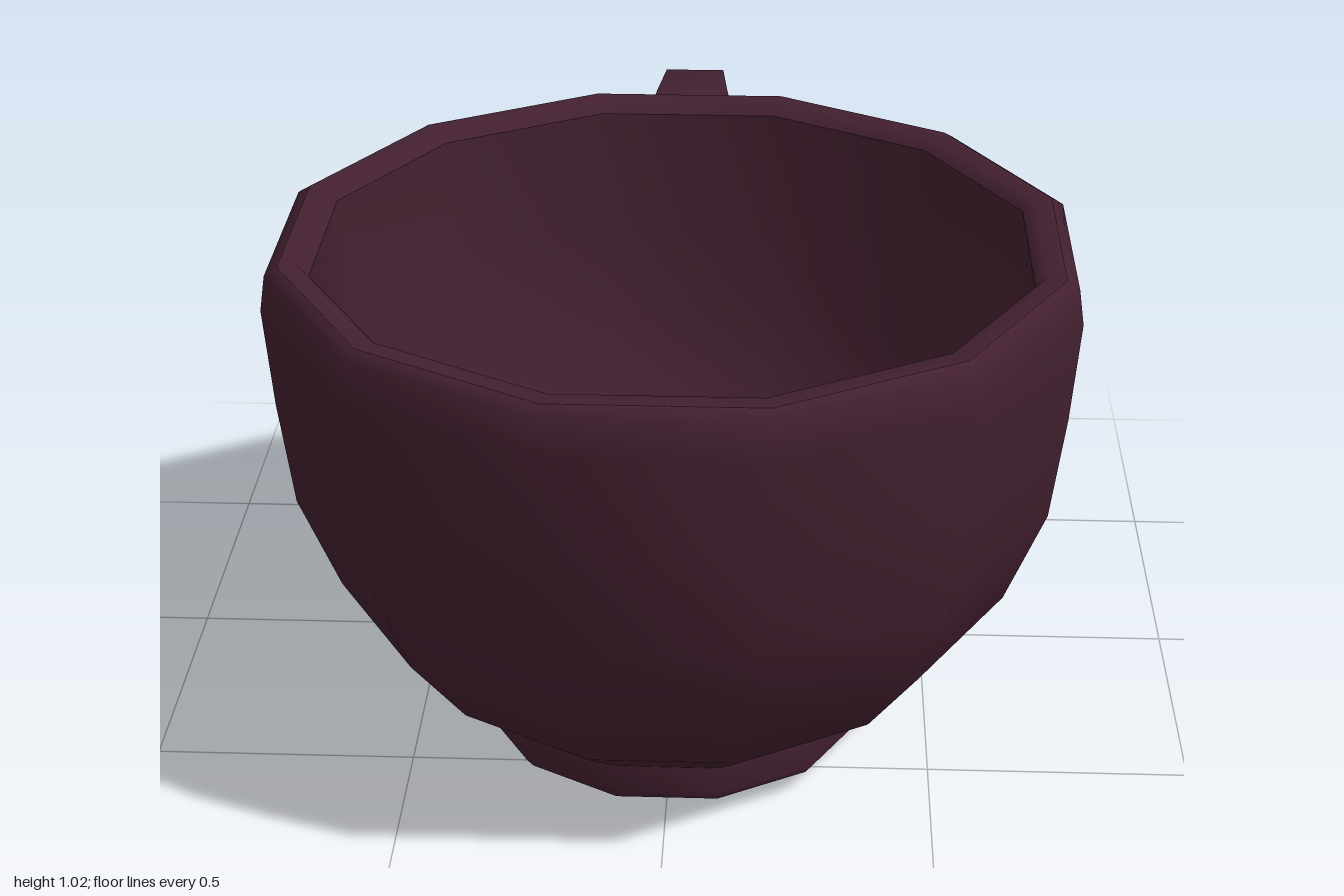
import * as THREE from 'three';
import { toCreasedNormals } from 'three/addons/utils/BufferGeometryUtils.js';

const SIDES = 12;
const CUP_Z = 0.255;
const material = new THREE.MeshStandardMaterial({ color: 0x432030 });

// Twelve-sided lathe; profile radii are measured to the middle of the flats
function turned(name, profile) {
  const k = 1 / Math.cos(Math.PI / SIDES);
  const points = profile.map(([r, y]) => new THREE.Vector2(r * k, y));
  const mesh = new THREE.Mesh(new THREE.LatheGeometry(points, SIDES, Math.PI / SIDES), material);
  mesh.name = name;
  mesh.position.z = CUP_Z;
  return mesh;
}

// Rectangular strap swept through stations: [outer z, outer y, inner z, inner y, half width]
function strap(stations) {
  const positions = [];
  const index = [];
  stations.forEach(([oz, oy, iz, iy, w], i) => {
    positions.push(w, oy, oz, -w, oy, oz, -w, iy, iz, w, iy, iz);
    if (i === stations.length - 1) return;
    for (let j = 0; j < 4; j++) {
      const a = i * 4 + j;
      const b = i * 4 + (j + 1) % 4;
      index.push(a, a + 4, b, b, a + 4, b + 4);
    }
  });
  // End caps
  const e = (stations.length - 1) * 4;
  index.push(0, 1, 2, 0, 2, 3, e, e + 2, e + 1, e, e + 3, e + 2);
  const geometry = new THREE.BufferGeometry();
  geometry.setAttribute('position', new THREE.Float32BufferAttribute(positions, 3));
  geometry.setIndex(index);
  return toCreasedNormals(geometry, Math.PI / 3);
}

export function createModel() {
  const group = new THREE.Group();
  group.name = 'cup';

  // Foot ring with a closed, flat underside
  group.add(turned('footBase', [[0, 0], [0.36, 0]]));
  group.add(turned('foot', [[0.36, 0], [0.375, 0.02], [0.375, 0.08]]));

  // Outer wall, up to the bevelled rim
  group.add(turned('outerWall', [
    [0.375, 0.08], [0.515, 0.187], [0.632, 0.345], [0.705, 0.535],
    [0.73, 0.74], [0.745, 0.935], [0.735, 1.003], [0.712, 1.018],
  ]));

  // Rim and hollow inside
  group.add(turned('rim', [[0.712, 1.018], [0.675, 1.018], [0.657, 0.995]]));
  group.add(turned('innerWall', [
    [0.657, 0.995], [0.655, 0.92], [0.645, 0.74], [0.62, 0.55],
    [0.555, 0.38], [0.44, 0.24], [0.3, 0.15], [0, 0.12],
  ]));

  // Handle at the back, wider where it meets the wall
  const handle = new THREE.Mesh(strap([
    [-0.46, 0.905, -0.45, 0.735, 0.11],
    [-0.63, 0.963, -0.66, 0.85, 0.075],
    [-0.79, 0.95, -0.762, 0.842, 0.062],
    [-0.946, 0.826, -0.86, 0.786, 0.051],
    [-1, 0.646, -0.9, 0.646, 0.048],
    [-0.946, 0.45, -0.863, 0.505, 0.051],
    [-0.798, 0.328, -0.758, 0.42, 0.06],
    [-0.556, 0.243, -0.545, 0.355, 0.075],
    [-0.27, 0.193, -0.35, 0.32, 0.1],
  ]), material);
  handle.name = 'handle';
  group.add(handle);

  return group;
}
